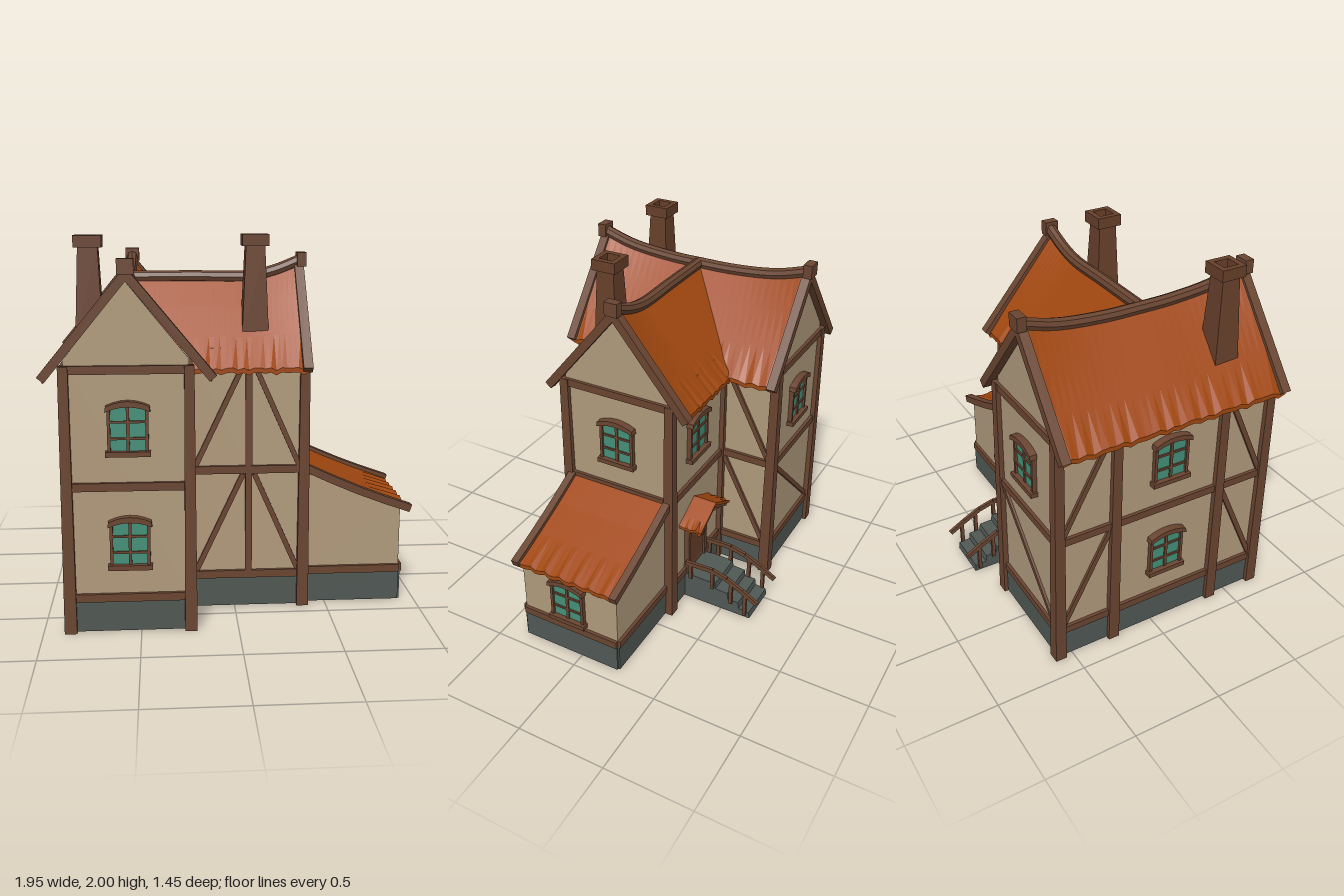
import * as THREE from 'three';

const mat = (name, color, extra = {}) => Object.assign(new THREE.MeshStandardMaterial({ color, flatShading: true, ...extra }), { name });
const plaster = mat('plaster', 0xb09a7c);
const wood = mat('timber', 0x6a4531);
const tile = mat('roof tile', 0xa0470f, { side: THREE.DoubleSide });
const stone = mat('foundation stone', 0x505854);
const glass = mat('window glass', 0x459079);
const brown = mat('chimney and door brown', 0x673f2a, { side: THREE.DoubleSide });
const V = (x, y, z) => new THREE.Vector3(x, y, z);
const lerp = THREE.MathUtils.lerp;

function add(parent, name, geo, material, x = 0, y = 0, z = 0) {
  const m = new THREE.Mesh(geo, material);
  m.name = name;
  m.position.set(x, y, z);
  parent.add(m);
  return m;
}
const box = (p, name, m, w, h, d, x, y, z) => add(p, name, new THREE.BoxGeometry(w, h, d), m, x, y, z);

// Rectangular bar between two points
function beam(p, name, a, b, w = 0.04, h = w, m = wood) {
  const mid = a.clone().add(b).multiplyScalar(0.5);
  const bar = box(p, name, m, w, h, a.distanceTo(b), mid.x, mid.y, mid.z);
  bar.lookAt(b);
  return bar;
}

// Tapered square corner post
function post(p, x, z, top = 1.38) {
  const g = new THREE.CylinderGeometry(0.035, 0.045, top, 4).rotateY(Math.PI / 4);
  return add(p, 'cornerPost', g, wood, x, top / 2, z);
}

// Bent slab: f(u, t) gives the upper surface from ridge (u=0) to eave (u=1)
function roofPanel(p, name, f, thick = 0.025, seg = 32) {
  const g = new THREE.BoxGeometry(1, 1, 1, 3, 1, seg), a = g.attributes.position;
  for (let i = 0; i < a.count; i++) {
    const u = a.getX(i) + 0.5, t = a.getZ(i) + 0.5, v = f(u, t);
    if (u > 0.99) v.y += 0.007 * Math.sin(t * 83) + 0.004 * Math.sin(t * 37);
    a.setXYZ(i, v.x, v.y + (a.getY(i) - 0.5) * thick, v.z);
  }
  g.computeVertexNormals();
  return add(p, name, g, tile);
}

function ridge(p, name, pts, r = 0.032) {
  add(p, name, new THREE.TubeGeometry(new THREE.CatmullRomCurve3(pts), 24, r, 8), wood);
}

// Arched six-pane window, facing +z before rotation
function windowUnit(p, x, y, z, turn = 0) {
  const g = new THREE.Group();
  g.name = 'window';
  g.position.set(x, y, z);
  g.rotation.y = turn;
  box(g, 'glass', glass, 0.18, 0.235, 0.008, 0, 0, 0.008);
  for (const s of [-1, 1]) box(g, 'jamb', wood, 0.016, 0.23, 0.03, s * 0.094, 0, 0.01);
  box(g, 'mullion', wood, 0.016, 0.235, 0.02, 0, 0, 0.01);
  for (const h of [-0.042, 0.042]) box(g, 'glazingBar', wood, 0.18, 0.012, 0.02, 0, h, 0.01);
  box(g, 'sill', wood, 0.225, 0.026, 0.05, 0, -0.118, 0.015);
  const s = new THREE.Shape();
  s.moveTo(-0.112, 0.095);
  s.quadraticCurveTo(0, 0.145, 0.112, 0.095);
  s.lineTo(0.108, 0.123);
  s.quadraticCurveTo(0, 0.175, -0.108, 0.123);
  add(g, 'lintel', new THREE.ExtrudeGeometry(s, { depth: 0.045, bevelEnabled: false, curveSegments: 6 }), wood, 0, 0, -0.005);
  p.add(g);
}

const poly = pts => new THREE.Shape(pts.map(q => new THREE.Vector2(...q)));
const extrude = (pts, depth) => new THREE.ExtrudeGeometry(poly(pts), { depth, bevelEnabled: false });

function chimney(p, x, z, bottom) {
  const g = new THREE.Group(), h = 1.95 - bottom;
  g.name = 'chimney';
  add(g, 'stack', new THREE.CylinderGeometry(0.07, 0.1, h, 4).rotateY(Math.PI / 4), brown, 0, bottom + h / 2, 0);
  for (const s of [-1, 1]) {
    box(g, 'cap', brown, 0.14, 0.06, 0.03, 0, 1.97, s * 0.055);
    box(g, 'cap', brown, 0.03, 0.06, 0.08, s * 0.055, 1.97, 0);
  }
  g.position.set(x, 0, z);
  p.add(g);
}

export function createModel() {
  const house = new THREE.Group();
  house.name = 'house';
  const L = -0.86, M = -0.245, R = 0.37, E = 0.91, F = 0.68, B = -0.575, f = 0.39, b = -0.25, mid = 0.07;

  // Foundation, open underneath
  const outline = [[L, F], [M, F], [M, f], [R, f], [R, 0.36], [E, 0.36], [E, -0.23], [R, -0.23], [R, b], [M, b], [M, B], [L, B]];
  outline.forEach(([x, z], i) => {
    const [x2, z2] = outline[(i + 1) % outline.length];
    beam(house, 'foundation', V(x, 0.09, z), V(x2, 0.09, z2), 0.02, 0.17, stone);
    beam(house, 'sillBeam', V(x, 0.185, z), V(x2, 0.185, z2), 0.036, 0.042);
  });

  // Plastered walls
  const plan = [[L, F], [M, F], [M, f], [R, f], [R, b], [M, b], [M, B], [L, B]];
  add(house, 'walls', extrude(plan.map(([x, z]) => [x, -z]), 1.25).rotateX(-Math.PI / 2), plaster, 0, 0.17, 0);
  add(house, 'annexWalls', extrude([[R - 0.02, 0.17], [E, 0.17], [E, 0.52], [R - 0.02, 0.75]], 0.59), plaster, 0, 0, -0.23);
  const gable = half => [[-half, 1.38], [half, 1.38], [half, 1.41], [0, 1.79], [-half, 1.41]];
  for (const z of [F - 0.02, B]) add(house, 'gableWall', extrude(gable(0.307), 0.02), plaster, -0.552, 0, z);
  add(house, 'gableWall', extrude(gable(0.32), 0.02).rotateY(Math.PI / 2), plaster, R - 0.02, 0, mid);

  // Posts and horizontal beams
  for (const [x, z] of plan) post(house, x, z);
  for (const z of [f, b]) post(house, L, z);
  plan.forEach(([x, z], i) => {
    const [x2, z2] = plan[(i + 1) % plan.length];
    for (const y of [0.77, 1.36]) beam(house, 'wallBeam', V(x, y, z), V(x2, y, z2), 0.036, 0.042);
  });

  // Diagonal braces on both floors
  for (const [lo, hi] of [[0.2, 0.755], [0.79, 1.34]]) {
    beam(house, 'stud', V(0.075, lo, f), V(0.075, hi, f), 0.036, 0.03);
    beam(house, 'brace', V(0.045, hi - 0.01, f), V(-0.21, lo, f), 0.028);
    beam(house, 'brace', V(0.105, hi - 0.01, f), V(0.345, lo, f), 0.028);
    for (const x of [L, M]) {
      beam(house, 'brace', V(x, hi, f + 0.02), V(x, lo, F - 0.02), 0.028);
      beam(house, 'brace', V(x, hi, b - 0.02), V(x, lo, B + 0.02), 0.028);
    }
  }
  beam(house, 'brace', V(M - 0.02, 0.755, B), V(L + 0.02, 0.2, B), 0.028);

  // Windows
  for (const y of [0.47, 1.06]) {
    windowUnit(house, -0.55, y, F);
    windowUnit(house, L, y, mid, -Math.PI / 2);
  }
  windowUnit(house, -0.55, 1.06, B, Math.PI);
  windowUnit(house, 0.08, 1.06, b, Math.PI);
  windowUnit(house, R, 1.06, mid, Math.PI / 2);
  windowUnit(house, E, 0.355, mid, Math.PI / 2);

  // Main and cross roofs, ridges sweeping up at the gables
  const topA = t => 1.765 + 0.085 * Math.abs(2 * t - 1) ** 3;
  const topB = x => 1.765 + 0.085 * (Math.max(0, x - 0.1) / 0.28) ** 1.5;
  for (const s of [-1, 1]) {
    roofPanel(house, 'mainRoof', (u, t) => V(-0.548 + s * 0.415 * u, lerp(topA(t), 1.325, u), lerp(-0.595, 0.695, t)));
    roofPanel(house, 'crossRoof', (u, t) => {
      const x = lerp(-0.53, 0.38, t);
      return V(x, lerp(topB(x), 1.325, u), mid + s * 0.41 * u);
    });
    for (const z of [-0.59, 0.685]) beam(house, 'bargeBoard', V(-0.548, 1.825, z), V(-0.548 + s * 0.42, 1.315, z), 0.05, 0.045);
    beam(house, 'bargeBoard', V(0.372, 1.825, mid), V(0.372, 1.315, mid + s * 0.42), 0.05, 0.045);
  }
  ridge(house, 'mainRidge', [0, 0.15, 0.35, 0.5, 0.65, 0.85, 1].map(t => V(-0.548, topA(t) + 0.005, lerp(-0.61, 0.7, t))));
  ridge(house, 'crossRidge', [-0.54, -0.2, 0.1, 0.24, 0.39].map(x => V(x, topB(x) + 0.005, mid)));
  for (const z of [-0.6, 0.695]) box(house, 'ridgeEnd', wood, 0.082, 0.075, 0.05, -0.548, 1.86, z);
  box(house, 'ridgeEnd', wood, 0.05, 0.075, 0.075, 0.385, 1.86, mid);

  // Lean-to roof
  const lean = u => V(lerp(0.37, 0.95, u), lerp(0.775, 0.535, u) - 0.012 * Math.sin(Math.PI * u), 0);
  roofPanel(house, 'annexRoof', (u, t) => lean(u).setZ(lerp(-0.24, 0.37, t)), 0.025, 20);
  for (const z of [-0.24, 0.37]) {
    for (let i = 0; i < 4; i++) beam(house, 'annexBarge', lean(i / 4).setZ(z), lean((i + 1) / 4 + 0.02).setZ(z), 0.042);
  }

  chimney(house, -0.74, 0.42, 1.47);
  chimney(house, 0.115, 0.25, 1.47);

  // Back door with canopy
  box(house, 'door', brown, 0.18, 0.35, 0.02, 0.085, 0.35, b - 0.008);
  for (const s of [-1, 1]) {
    box(house, 'doorPost', wood, 0.025, 0.37, 0.04, 0.085 + s * 0.1, 0.355, b - 0.01);
    roofPanel(house, 'canopyRoof', (u, t) => V(0.088 + s * 0.18 * u, lerp(0.645, 0.55, u), lerp(-0.39, b, t)), 0.018, 8);
    beam(house, 'canopyRafter', V(0.088, 0.615, -0.37), V(0.088 + s * 0.165, 0.53, -0.37), 0.022);
    beam(house, 'canopyStrut', V(0.088 + s * 0.1, 0.44, b), V(0.088 + s * 0.1, 0.55, -0.36), 0.02);
  }
  box(house, 'doorHead', wood, 0.225, 0.03, 0.04, 0.085, 0.535, b - 0.01);
  box(house, 'doorHandle', wood, 0.012, 0.03, 0.02, 0.02, 0.35, b - 0.025);

  // Stone steps
  const side = [[0.25, 0], [0.68, 0], [0.675, 0.04], [0.61, 0.045], [0.605, 0.085], [0.54, 0.088], [0.535, 0.125], [0.46, 0.13], [0.455, 0.165], [0.25, 0.17]];
  add(house, 'steps', extrude(side, 0.24).rotateY(Math.PI / 2), stone, -0.035, 0, 0);

  // Handrails
  for (const x of [-0.037, 0.21]) {
    const path = [[-0.27, 0.255], [-0.44, 0.26], [-0.53, 0.235], [-0.63, 0.185], [-0.725, 0.13]].map(([z, y]) => V(x, y, z));
    for (let i = 0; i < 4; i++) beam(house, 'handrail', path[i], path[i + 1], 0.018, 0.026);
    for (const [z, lo, hi] of [[-0.3, 0.15, 0.255], [-0.44, 0.13, 0.255], [-0.56, 0.07, 0.22], [-0.65, 0.02, 0.175]])
      box(house, 'baluster', wood, 0.018, hi - lo, 0.02, x, (lo + hi) / 2, z);
  }
  return house;
}
